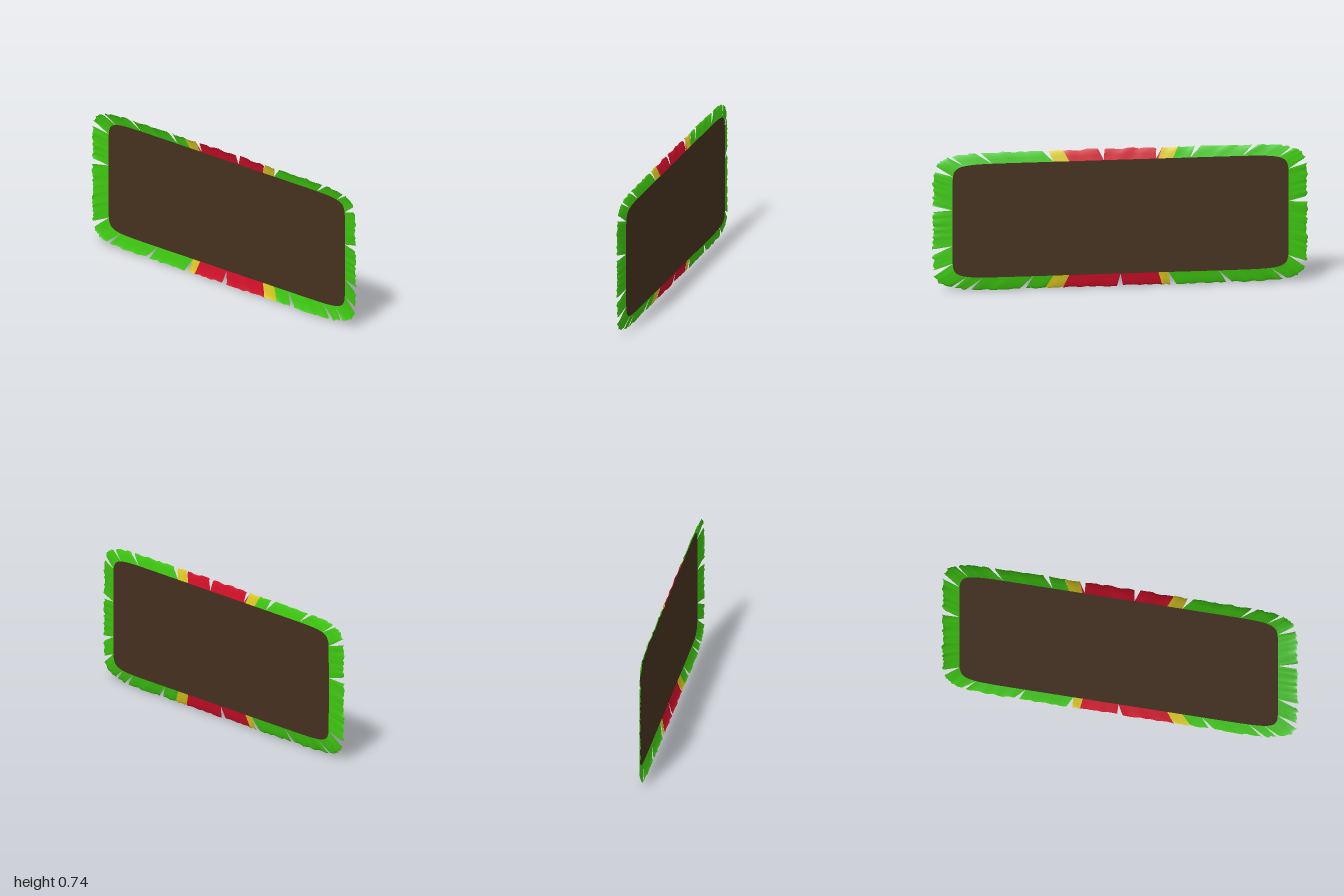
import * as THREE from 'three';

const COLORS = { green: 0x3fc911, yellow: 0xdccb20, red: 0xd20f28, brown: 0x46321f };
const PANEL = { w: 0.89, h: 0.305, y: 0.385, n: 14 };
const OUTER = { w: 0.99, h: 0.367, y: 0.379, n: 10 };
const BACK = -0.012;

// Places along the rim, clockwise from the upper left corner, two units a side
const SLITS = [0.02, 0.275, 0.585, 0.79, 1.1, 1.4, 1.765, 1.96, 2.21, 2.8, 3.43, 3.74,
  4.065, 4.18, 4.48, 5, 5.285, 5.585, 5.91, 6.23, 7.18, 7.75, 8.02];
const SEAMS = [0.69, 0.775, 1.305, 4.6, 4.695, 5.225]; // colour changes

let seed = 17;
function random() {
  seed = (seed * 16807) % 2147483647;
  return seed / 2147483647;
}

// Point on a rectangle with softly rounded corners
function rimPoint(s, { w, h, y, n }) {
  const side = Math.floor(s / 2) % 4, u = (s % 2) - 1;
  const [a, b] = [[u, 1], [1, -u], [-u, -1], [-1, u]][side];
  const k = (Math.abs(a) ** n + Math.abs(b) ** n) ** (-1 / n);
  return new THREE.Vector2(a * k * w, y + b * k * h);
}

// Red middle with yellow on both sides, on the top and bottom edges only
function colorAt(s) {
  const { x, y } = rimPoint(s, PANEL);
  if (Math.abs(y - PANEL.y) < 0.25 || x < -0.265 || x > 0.36) return 'green';
  return x > -0.203 && x < 0.27 ? 'red' : 'yellow';
}

// Half width of a slit at the outer edge, as a distance along the rim
function slitGap(s) {
  return SLITS.includes(s) ? 0.016 / (Math.floor(s / 2) % 2 ? OUTER.h : OUTER.w) : 0;
}

// Strip that rises forward from the panel, with a ragged, curled outer edge
function flapGeometry(start, end) {
  const n = Math.max(4, Math.ceil((end - start) / 0.035));
  const rows = [[0, BACK], [0.45, -0.005], [0.85, 0.001], [1, 0.008]]; // reach, z
  const outerStart = start + slitGap(start), outerEnd = end - slitGap(end);
  const positions = [], index = [];
  for (let i = 0; i <= n; i++) {
    const p = rimPoint(THREE.MathUtils.lerp(start, end, i / n), PANEL);
    const q = rimPoint(THREE.MathUtils.lerp(outerStart, outerEnd, i / n), OUTER);
    const ragged = (random() - 0.5) * 0.14, wave = (random() - 0.5) * 0.005;
    rows.forEach(([t, z]) => {
      const v = p.clone().lerp(q, t * (1 + ragged * t));
      positions.push(v.x, v.y, z + wave * t);
    });
  }
  const m = rows.length;
  for (let i = 0; i < n; i++) {
    for (let j = 0; j < m - 1; j++) {
      const k = i * m + j;
      index.push(k, k + m, k + 1, k + 1, k + m, k + m + 1);
    }
  }
  const geometry = new THREE.BufferGeometry();
  geometry.setAttribute('position', new THREE.Float32BufferAttribute(positions, 3));
  geometry.setIndex(index);
  geometry.computeVertexNormals();
  return geometry;
}

// Flat panel
function panelGeometry() {
  const outline = [];
  for (let i = 0; i < 320; i++) outline.push(rimPoint(i / 40, PANEL));
  return new THREE.ShapeGeometry(new THREE.Shape(outline)).translate(0, 0, BACK);
}

export function createModel() {
  const model = new THREE.Group();
  const materials = {};
  for (const name in COLORS) {
    materials[name] = new THREE.MeshStandardMaterial({ color: COLORS[name], side: THREE.DoubleSide });
  }

  const panel = new THREE.Mesh(panelGeometry(), materials.brown);
  panel.name = 'panel';
  model.add(panel);

  // Torn border, split at every slit and colour change
  const border = new THREE.Group();
  border.name = 'tornBorder';
  const cuts = [...SLITS, ...SEAMS].sort((a, b) => a - b);
  for (let i = 1; i < cuts.length; i++) {
    const color = colorAt((cuts[i - 1] + cuts[i]) / 2);
    const flap = new THREE.Mesh(flapGeometry(cuts[i - 1], cuts[i]), materials[color]);
    flap.name = color + 'Flap';
    border.add(flap);
  }
  model.add(border);
  return model;
}
